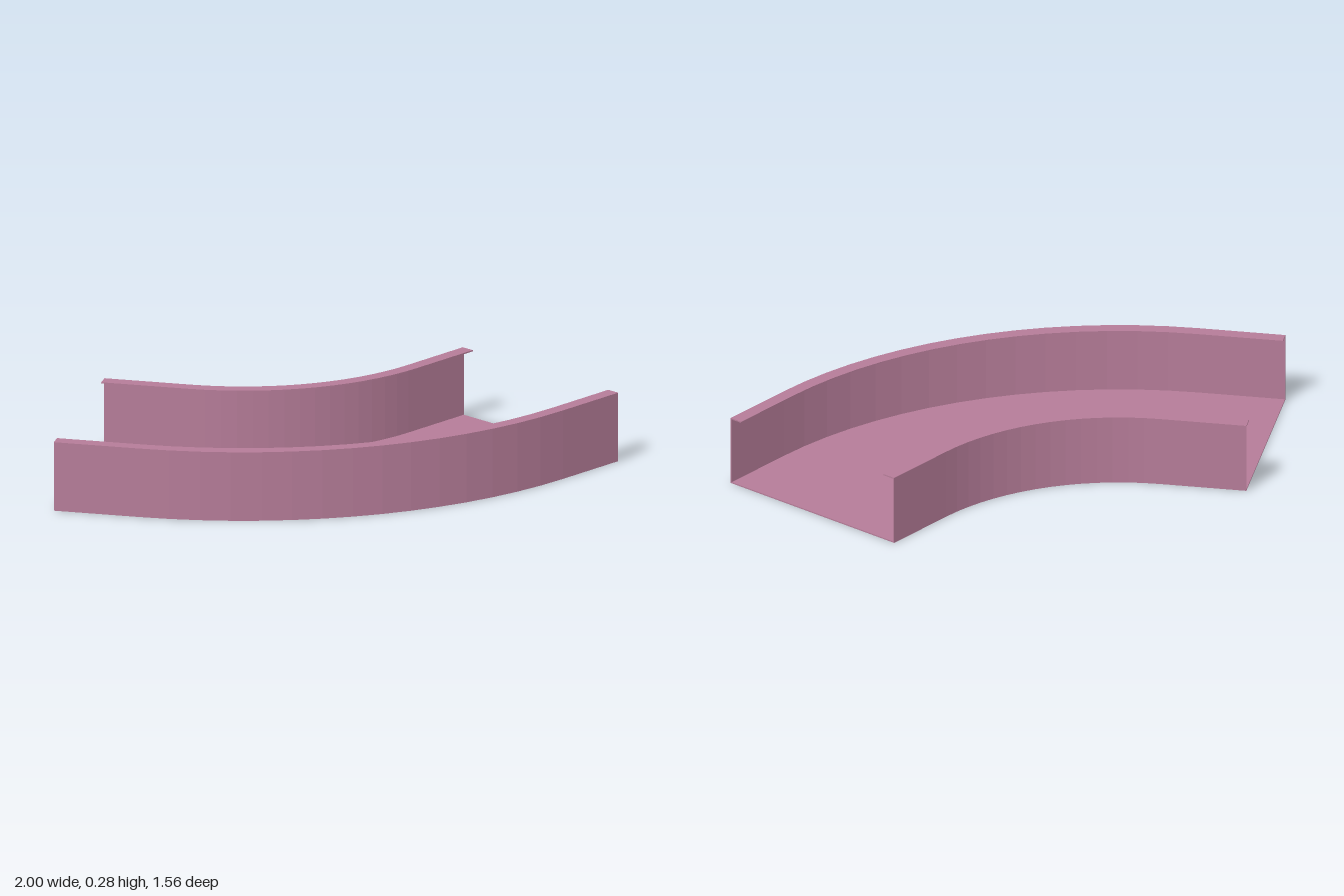
import * as THREE from 'three';

const WIDTH = 0.842, HEIGHT = 0.282, LIP = 0.054, SHEET = 0.005;
const R_INNER = 0.888, STRAIGHT_A = 0.345, STRAIGHT_B = 0.315;
const TURN = Math.PI / 3, SEGMENTS = 15;
const CENTRE = new THREE.Vector2(-1 + STRAIGHT_A, 0.064 + R_INNER);

// Plan line running parallel to the inner edge: straight, 60 degree arc, straight
function planLine(offset) {
  const r = R_INNER + offset;
  const pts = [new THREE.Vector2(-1, CENTRE.y - r)];
  for (let i = 0; i <= SEGMENTS; i++) {
    const a = (TURN * i) / SEGMENTS;
    pts.push(new THREE.Vector2(CENTRE.x + r * Math.sin(a), CENTRE.y - r * Math.cos(a)));
  }
  const end = pts[pts.length - 1].clone();
  end.x += STRAIGHT_B * Math.cos(TURN);
  end.y += STRAIGHT_B * Math.sin(TURN);
  pts.push(end);
  return pts;
}

export function createModel() {
  const group = new THREE.Group();
  group.name = 'trayBend';
  const material = new THREE.MeshStandardMaterial({ color: 0xb57c98, flatShading: true });

  // Strip between two offsets, raised from y0 to y1
  function strip(name, from, to, y0, y1) {
    const shape = new THREE.Shape([...planLine(to), ...planLine(from).reverse()]);
    const geometry = new THREE.ExtrudeGeometry(shape, { depth: y1 - y0, bevelEnabled: false });
    geometry.rotateX(-Math.PI / 2).translate(0, y0, 0);
    const mesh = new THREE.Mesh(geometry, material);
    mesh.name = name;
    group.add(mesh);
  }

  // Tray floor
  strip('floor', 0, WIDTH, 0, SHEET);

  // Side walls standing on the floor
  strip('innerWall', 0, SHEET, SHEET, HEIGHT - SHEET);
  strip('outerWall', WIDTH - SHEET, WIDTH, SHEET, HEIGHT - SHEET);

  // Lips folded inwards along the wall tops
  strip('innerLip', 0, LIP, HEIGHT - SHEET, HEIGHT);
  strip('outerLip', WIDTH - LIP, WIDTH, HEIGHT - SHEET, HEIGHT);

  return group;
}
